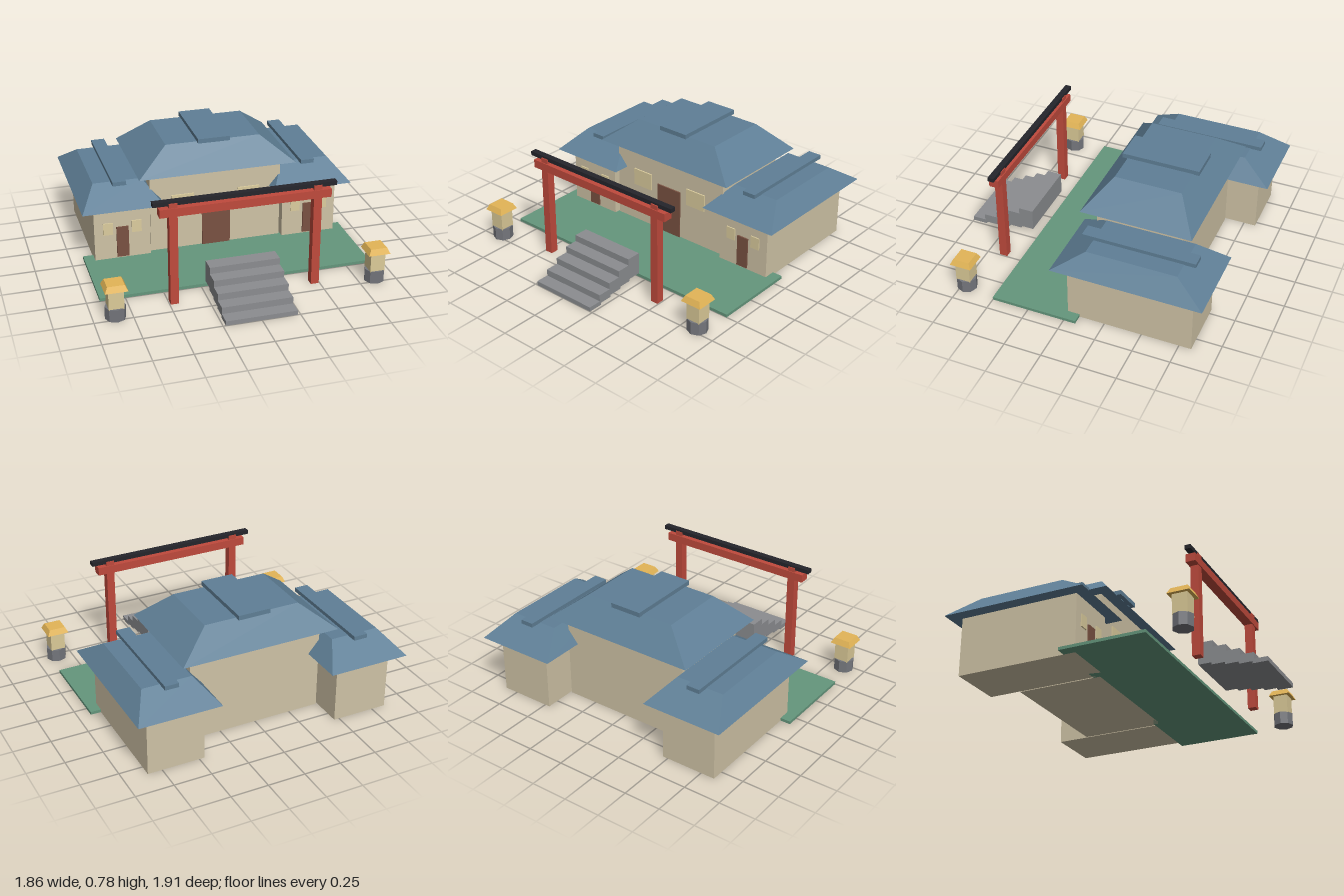
import * as THREE from 'three';

const mat = (color) => new THREE.MeshStandardMaterial({ color, flatShading: true });

export function createModel() {
  const M = {
    wall: mat(0xcfc3a6), roof: mat(0x5f7f96), grass: mat(0x64967c), red: mat(0xbf4a3c),
    black: mat(0x25252b), door: mat(0x7a5242), window: mat(0xdccd9e), gold: mat(0xe3b557),
    stone: mat(0x8b8d90), base: mat(0x74767c), lamp: mat(0xdccb98),
  };
  const model = new THREE.Group();
  model.name = 'gatedHouse';

  const add = (name, geo, material, parent = model) => {
    const mesh = new THREE.Mesh(geo, material);
    mesh.name = name;
    parent.add(mesh);
    return mesh;
  };

  // Box given by its limits on each axis
  const box = (name, material, [x0, x1], [y0, y1], [z0, z1], parent) => {
    const geo = new THREE.BoxGeometry(x1 - x0, y1 - y0, z1 - z0);
    geo.translate((x0 + x1) / 2, (y0 + y1) / 2, (z0 + z1) / 2);
    return add(name, geo, material, parent);
  };

  // Hipped roof: a box whose top face is drawn inward
  const hip = (name, material, [x0, x1], [y0, y1], [z0, z1], inX, inZ, parent) => {
    const mesh = box(name, material, [x0, x1], [y0, y1], [z0, z1], parent);
    const p = mesh.geometry.attributes.position;
    const mid = (y0 + y1) / 2, cx = (x0 + x1) / 2, cz = (z0 + z1) / 2;
    for (let i = 0; i < p.count; i++) {
      if (p.getY(i) < mid) continue;
      p.setX(i, p.getX(i) - Math.sign(p.getX(i) - cx) * inX);
      p.setZ(i, p.getZ(i) - Math.sign(p.getZ(i) - cz) * inZ);
    }
    mesh.geometry.computeVertexNormals();
    return mesh;
  };

  const group = (name) => {
    const g = new THREE.Group();
    g.name = name;
    model.add(g);
    return g;
  };

  box('lawn', M.grass, [-0.915, 0.915], [0, 0.02], [-0.08, 0.5]);

  // Central hall
  const hall = group('hall');
  box('hallWalls', M.wall, [-0.455, 0.455], [0, 0.59], [-0.615, -0.035], hall);
  hip('hallRoof', M.roof, [-0.54, 0.54], [0.585, 0.755], [-0.7, 0.045], 0.215, 0.148, hall);
  box('hallRidgeCap', M.roof, [-0.11, 0.11], [0.752, 0.783], [-0.588, -0.068], hall);
  box('hallDoor', M.door, [-0.098, 0.098], [0.02, 0.365], [-0.05, -0.025], hall);
  for (const s of [-1, 1]) {
    const c = s * 0.23;
    box('hallWindow', M.window, [c - 0.077, c + 0.077], [0.295, 0.415], [-0.05, -0.025], hall);
  }

  for (const s of [-1, 1]) {
    const side = s > 0 ? 'left' : 'right';
    const c = s * 0.655;

    // Side wing with door, two windows and hipped roof
    const wing = group(side + 'Wing');
    box('wingWalls', M.wall, [c - 0.19, c + 0.19], [0, 0.405], [-0.83, 0], wing);
    hip('wingRoof', M.roof, [c - 0.275, c + 0.275], [0.4, 0.53], [-0.912, 0.082], 0.11, 0.2, wing);
    box('wingRidgeCap', M.roof, [c - 0.046, c + 0.046], [0.527, 0.555], [-0.787, -0.042], wing);
    box('wingDoor', M.door, [c - 0.041, c + 0.041], [0.03, 0.25], [-0.01, 0.01], wing);
    for (const dx of [-0.097, 0.097]) {
      box('wingWindow', M.window, [c + dx - 0.033, c + dx + 0.033], [0.2, 0.285], [-0.01, 0.008], wing);
    }

    // Stone lantern
    const lantern = group(side + 'Lantern');
    lantern.position.set(s * 0.858, 0, 0.714);
    add('lanternBase', new THREE.CylinderGeometry(0.067, 0.067, 0.085, 8), M.base, lantern).position.y = 0.0425;
    box('lanternBody', M.lamp, [-0.049, 0.049], [0.08, 0.215], [-0.049, 0.049], lantern);
    hip('lanternRoof', M.gold, [-0.073, 0.073], [0.212, 0.25], [-0.073, 0.073], 0.018, 0.018, lantern);
  }

  // Gate: two posts, cross beam and dark top rail
  const gate = group('gate');
  for (const c of [-0.467, 0.467]) {
    box('gatePost', M.red, [c - 0.027, c + 0.027], [0, 0.7], [0.61, 0.664], gate);
  }
  box('gateBeam', M.red, [-0.555, 0.555], [0.615, 0.67], [0.604, 0.67], gate);
  box('gateTopRail', M.black, [-0.594, 0.594], [0.685, 0.713], [0.615, 0.656], gate);

  // Stairs: each block is thicker than the one before it
  const stairs = group('stairs');
  for (let i = 0; i < 5; i++) {
    const z = 0.95 - i * 0.09;
    box('step', M.stone, [-0.232, 0.232], [i * 0.015, 0.03 + i * 0.045], [z - 0.05, z + 0.05], stairs);
  }

  return model;
}
